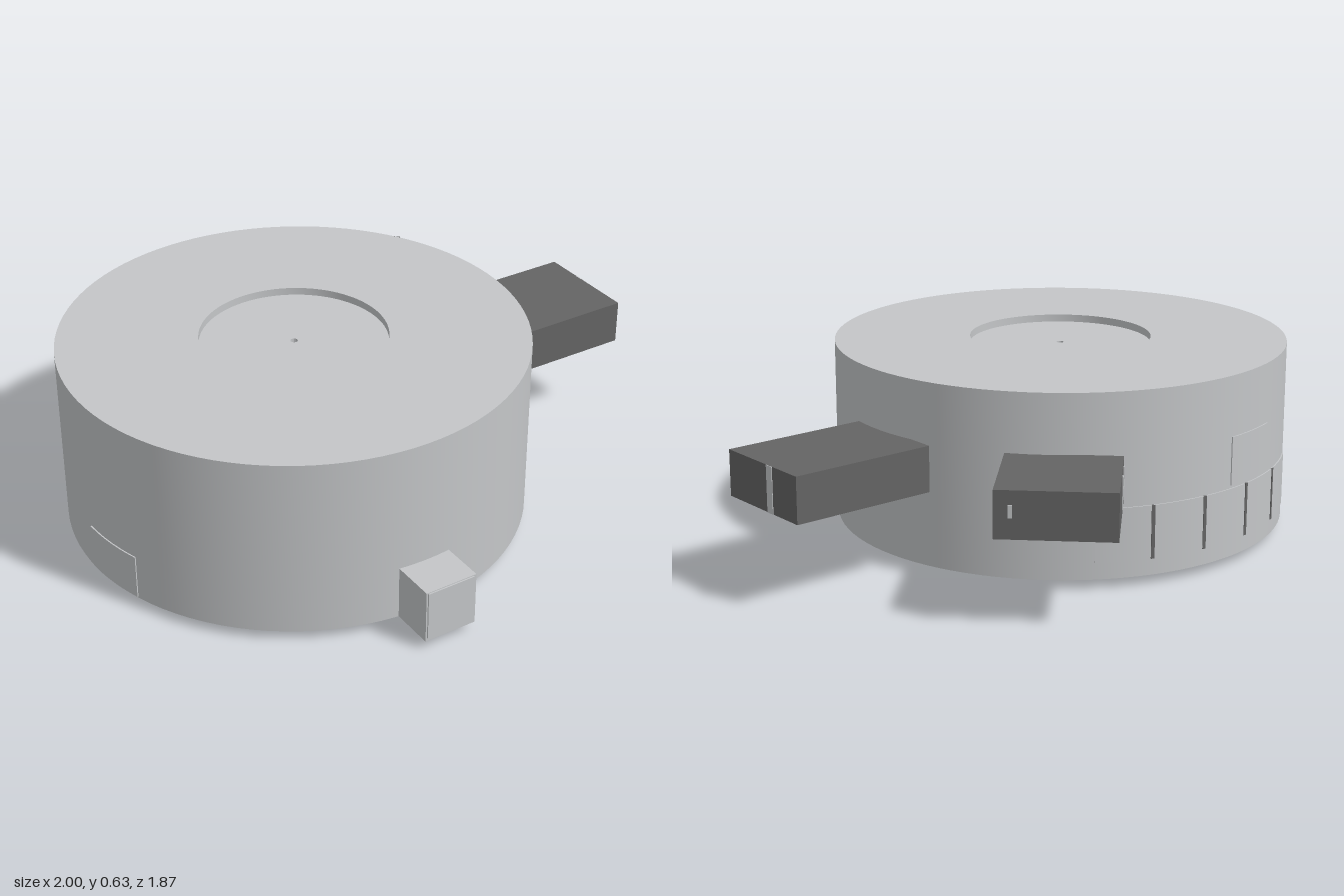
import * as THREE from 'three';
import { toCreasedNormals } from 'three/addons/utils/BufferGeometryUtils.js';

const CX = -0.24, CZ = 0.025, R = 0.76;
const DEG = Math.PI / 180;

const lightGrey = new THREE.MeshStandardMaterial({ color: 0xc4c6c8 });
lightGrey.name = 'light grey';
const darkGrey = new THREE.MeshStandardMaterial({ color: 0x646464 });
darkGrey.name = 'dark grey';

function add(parent, name, geometry, material, x = 0, y = 0, z = 0) {
  const mesh = new THREE.Mesh(geometry, material);
  mesh.name = name;
  mesh.position.set(x, y, z);
  parent.add(mesh);
  return mesh;
}

const box = (w, h, d) => new THREE.BoxGeometry(w, h, d);

// Thin curved plate on the drum wall; angles in degrees from the back (-z) towards +x
function wallPlate(from, to, y0, y1, lift) {
  const a = (90 - to) * DEG, b = (90 - from) * DEG;
  const shape = new THREE.Shape();
  shape.absarc(0, 0, R + lift, a, b, false);
  shape.absarc(0, 0, R - 0.01, b, a, true);
  const g = new THREE.ExtrudeGeometry(shape, { depth: y1 - y0, bevelEnabled: false, curveSegments: 6 });
  g.rotateX(-Math.PI / 2);
  g.translate(0, y0, 0);
  return toCreasedNormals(g, 0.5);
}

export function createModel() {
  const model = new THREE.Group();
  model.name = 'drumWithModules';

  const drum = new THREE.Group();
  drum.name = 'drum';
  drum.position.set(CX, 0, CZ);
  model.add(drum);

  // Drum: stepped foot, wall, recessed top and a pinhole through the axis
  const profile = [
    [0.012, 0], [0.28, 0], [0.28, 0.02], [0.315, 0.02], [0.315, 0.03],
    [R, 0.03], [R, 0.63], [0.305, 0.63], [0.305, 0.605], [0.012, 0.605], [0.012, 0],
  ].map(([r, y]) => new THREE.Vector2(r, y));
  add(drum, 'drumBody', toCreasedNormals(new THREE.LatheGeometry(profile, 96), 0.5), lightGrey);

  // Row of wall panels at the back with dark seams between them
  const edges = [33, 19, 4.7, -10, -24.3, -38];
  for (let i = 0; i < edges.length - 1; i++) {
    add(drum, 'wallPanel', wallPlate(edges[i + 1], edges[i], 0.085, 0.26, 0.004), lightGrey);
    if (i > 0) add(drum, 'panelSeam', wallPlate(edges[i] - 0.45, edges[i] + 0.45, 0.085, 0.26, 0.006), darkGrey);
  }

  // Single hatches above the row and on the side
  add(drum, 'upperHatch', wallPlate(-20, -4, 0.27, 0.43, 0.004), lightGrey);
  add(drum, 'sideHatch', wallPlate(-109, -92, 0.035, 0.185, 0.004), lightGrey);

  // Small box at the front with a thin face plate
  add(model, 'frontBox', box(0.18, 0.18, 0.165), lightGrey, -0.24, 0.12, 0.8425);
  add(model, 'frontBoxPlate', box(0.165, 0.165, 0.006), lightGrey, -0.2425, 0.125, 0.927);

  // Dark module on the side with a light stripe on its end
  add(model, 'sideModule', box(0.492, 0.15, 0.365), darkGrey, 0.752, 0.36, -0.03);
  add(model, 'sideModuleStripe', box(0.004, 0.15, 0.03), lightGrey, 0.998, 0.36, -0.07);

  // Dark module on the back diagonal; local +x points away from the drum
  const diagonal = new THREE.Group();
  diagonal.name = 'diagonalModule';
  diagonal.position.set(0.377, 0.36, -0.678);
  diagonal.rotation.y = Math.PI / 4;
  model.add(diagonal);
  add(diagonal, 'moduleBody', box(0.365, 0.15, 0.365), darkGrey);
  for (const x of [-0.055, -0.15]) {
    add(diagonal, 'moduleStripe', box(0.016, 0.105, 0.004), lightGrey, x, 0, -0.183);
  }
  for (const y of [-0.03, 0, 0.03]) {
    add(diagonal, 'moduleDot', box(0.012, 0.008, 0.004), lightGrey, -0.103, y, -0.183);
  }
  add(diagonal, 'moduleMark', box(0.004, 0.04, 0.012), lightGrey, 0.183, 0.01, 0.133);

  return model;
}
